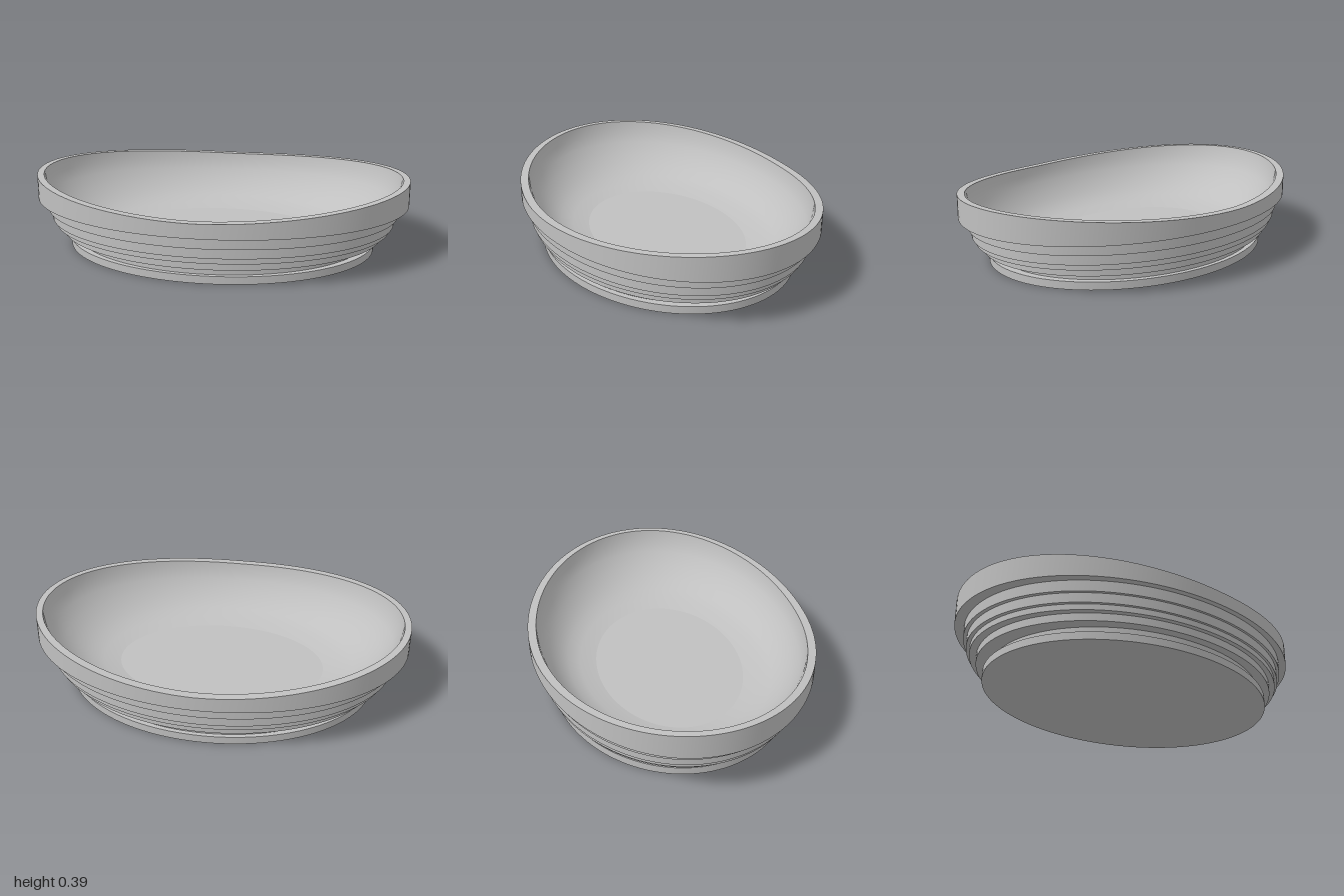
import * as THREE from 'three';

const SEGMENTS = 128;

// Each ring is [x radius, z radius, height, share of the end lift]
function loft(rings) {
  const positions = [], indices = [];
  rings.forEach(([rx, rz, y, lift = 0]) => {
    for (let i = 0; i < SEGMENTS; i++) {
      const a = (i / SEGMENTS) * Math.PI * 2;
      const x = Math.cos(a), z = Math.sin(a);
      positions.push(rx * x, y + lift * 0.058 * Math.abs(x) ** 1.6, rz * z);
    }
  });
  for (let r = 0; r < rings.length - 1; r++) {
    for (let i = 0; i < SEGMENTS; i++) {
      const j = (i + 1) % SEGMENTS;
      const a = r * SEGMENTS + i, b = r * SEGMENTS + j;
      const c = a + SEGMENTS, d = b + SEGMENTS;
      indices.push(a, c, b, b, c, d);
    }
  }
  const geometry = new THREE.BufferGeometry();
  geometry.setAttribute('position', new THREE.Float32BufferAttribute(positions, 3));
  geometry.setIndex(indices);
  geometry.computeVertexNormals();
  return geometry;
}

export function createModel() {
  const group = new THREE.Group();
  const clay = new THREE.MeshStandardMaterial({ color: 0xc0c0c0 });
  clay.name = 'light grey';
  const add = (name, rings) => {
    const mesh = new THREE.Mesh(loft(rings), clay);
    mesh.name = name;
    group.add(mesh);
  };

  // Stepped outside: [x radius, z radius, bottom, top]
  const tiers = [
    [0.825, 0.648, 0, 0.04],
    [0.785, 0.625, 0.04, 0.08],
    [0.865, 0.67, 0.08, 0.12],
    [0.905, 0.694, 0.12, 0.15],
    [0.925, 0.706, 0.15, 0.2],
    [0.945, 0.718, 0.2, 0.257],
    [1, 0.746, 0.257, 0.33],
  ];
  let previous = [0, 0];
  tiers.forEach(([rx, rz, y0, y1], i) => {
    const lift = i === tiers.length - 1 ? 1 : 0;
    add(i ? `step${i}` : 'underside', [[...previous, y0], [rx, rz, y0]]);
    add(`tier${i + 1}`, [[rx, rz, y0], [rx, rz, y1, lift]]);
    previous = [rx, rz];
  });

  // Rim that rises towards both ends
  add('rim', [[1, 0.746, 0.33, 1], [0.965, 0.702, 0.33, 1]]);

  // Curved inner wall, then the flat floor
  add('innerWall', [
    [0.965, 0.702, 0.33, 1],
    [0.95, 0.693, 0.285, 0.7],
    [0.915, 0.672, 0.24, 0.45],
    [0.86, 0.638, 0.19, 0.2],
    [0.79, 0.594, 0.145],
    [0.72, 0.545, 0.108],
    [0.65, 0.482, 0.084],
    [0.56, 0.395, 0.067],
  ]);
  add('floor', [[0.56, 0.395, 0.067], [0, 0, 0.067]]);

  return group;
}
